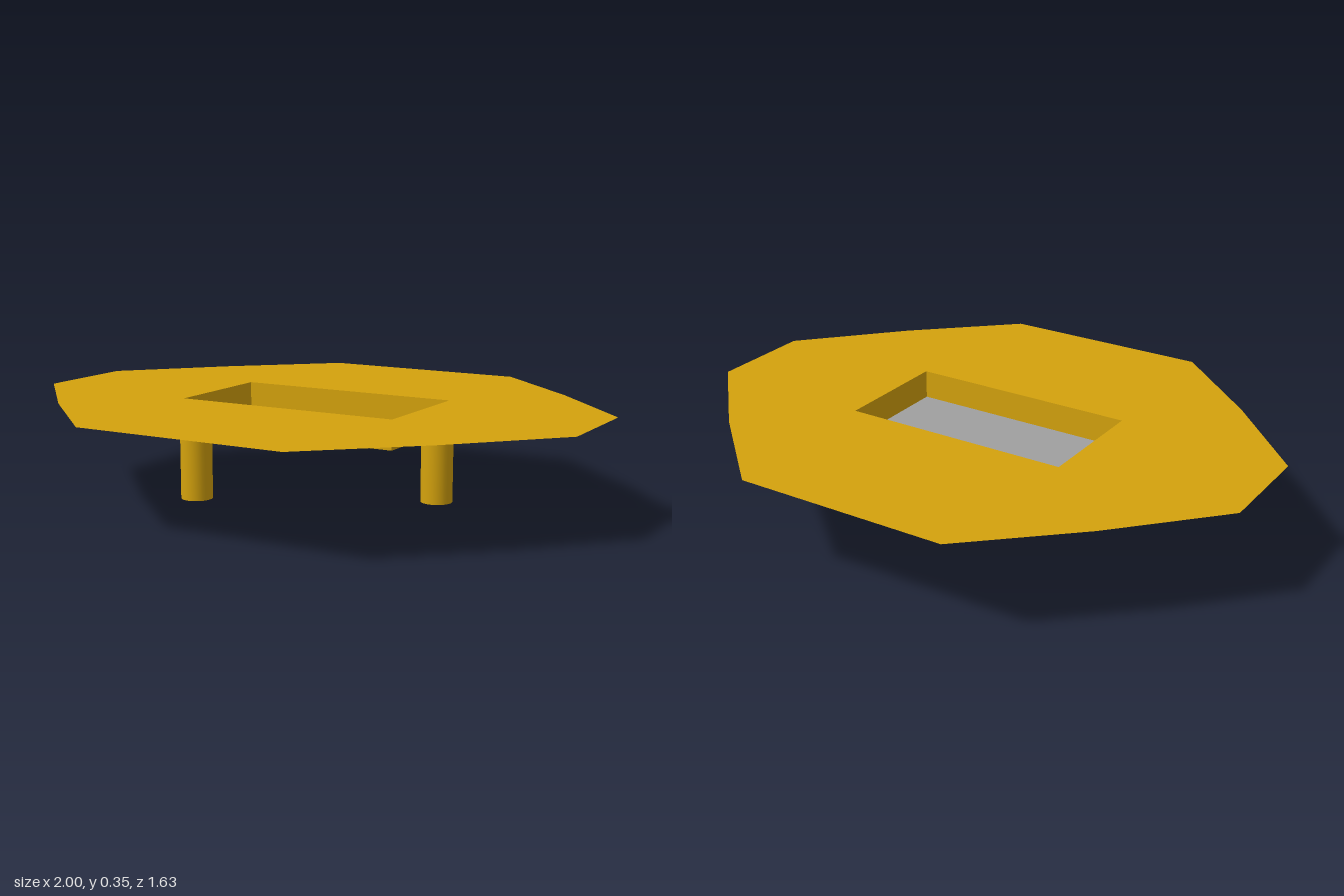
import * as THREE from 'three';

const gold = new THREE.MeshStandardMaterial({ color: 0xd4a20d, side: THREE.DoubleSide });
const grey = new THREE.MeshStandardMaterial({ color: 0xa0a0a0, side: THREE.DoubleSide });

const TOP = 0.35, FLOOR = 0.25;   // heights of the sheet and of the tray floor
const HX = 0.4, HZ = 0.21;        // half size of the tray

export function createModel() {
  const model = new THREE.Group();
  const add = (name, geometry, material, x = 0, y = 0, z = 0) => {
    const mesh = new THREE.Mesh(geometry, material);
    mesh.name = name;
    mesh.position.set(x, y, z);
    model.add(mesh);
    return mesh;
  };

  // Flat faceted sheet, one quarter outline mirrored, with the tray opening cut out
  const quarter = [[1, 0.185], [0.7, 0.51], [0.37, 0.815]];
  const back = [...quarter].reverse();
  const outline = [
    ...quarter,
    ...back.map(([x, z]) => [-x, z]),
    ...quarter.map(([x, z]) => [-x, -z]),
    ...back.map(([x, z]) => [x, -z]),
  ].map(([x, z]) => new THREE.Vector2(x, z));
  const sheet = new THREE.Shape(outline);
  sheet.holes.push(new THREE.Path([
    new THREE.Vector2(-HX, -HZ), new THREE.Vector2(-HX, HZ),
    new THREE.Vector2(HX, HZ), new THREE.Vector2(HX, -HZ),
  ]));
  add('topSheet', new THREE.ShapeGeometry(sheet).rotateX(-Math.PI / 2), gold, 0, TOP);

  // Thin tray walls and floor
  const depth = TOP - FLOOR, mid = (TOP + FLOOR) / 2;
  for (const s of [1, -1]) {
    const turn = s > 0 ? 0 : Math.PI;
    add(s > 0 ? 'frontWall' : 'backWall',
      new THREE.PlaneGeometry(2 * HX, depth).rotateY(turn), gold, 0, mid, s * HZ);
    add(s > 0 ? 'leftWall' : 'rightWall',
      new THREE.PlaneGeometry(2 * HZ, depth).rotateY(Math.PI / 2 + turn), gold, s * HX, mid, 0);
  }
  add('trayFloor', new THREE.PlaneGeometry(2 * HX, 2 * HZ).rotateX(-Math.PI / 2), grey, 0, FLOOR);

  // Two round legs on opposite corners, their tops just showing in the floor
  const legHeight = FLOOR + 0.001;
  for (const s of [1, -1]) {
    add(s > 0 ? 'backLeftLeg' : 'frontRightLeg',
      new THREE.CylinderGeometry(0.055, 0.055, legHeight, 32), gold, s * 0.37, legHeight / 2, -s * 0.185);
  }

  return model;
}
